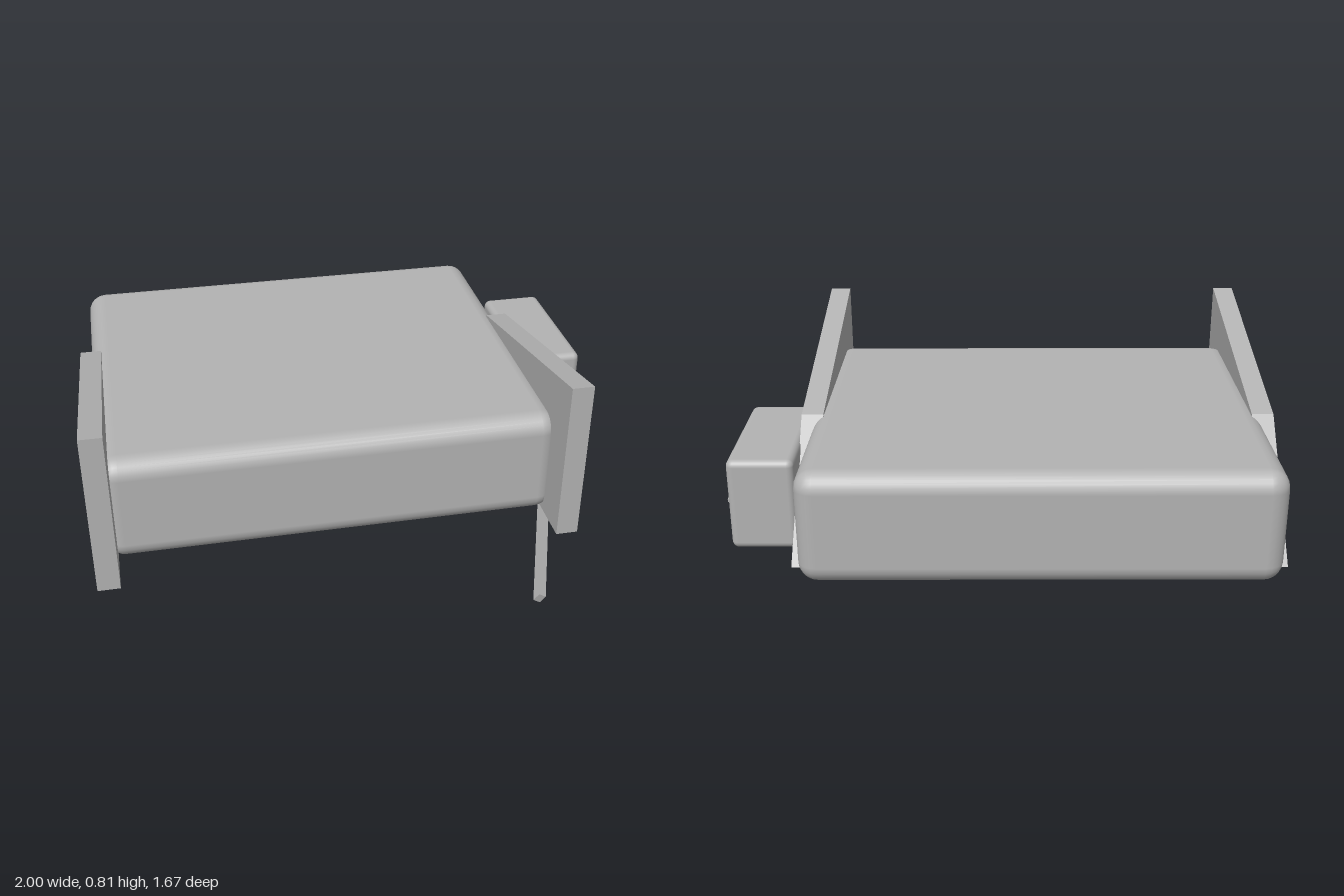
import * as THREE from 'three';
import { RoundedBoxGeometry } from 'three/addons/geometries/RoundedBoxGeometry.js';

export function createModel() {
  const model = new THREE.Group();
  const grey = new THREE.MeshStandardMaterial({ color: 0xb3b3b3 });
  grey.name = 'plain grey';

  const add = (name, geometry) => {
    const mesh = new THREE.Mesh(geometry, grey);
    mesh.name = name;
    model.add(mesh);
    return mesh;
  };
  // Box between two corners, rounded when a radius is given
  const block = (name, [x0, y0, z0], [x1, y1, z1], radius = 0, segments = 3) => {
    const size = [x1 - x0, y1 - y0, z1 - z0];
    const geometry = radius
      ? new RoundedBoxGeometry(...size, segments, radius)
      : new THREE.BoxGeometry(...size);
    add(name, geometry).position.set((x0 + x1) / 2, (y0 + y1) / 2, (z0 + z1) / 2);
  };

  // Main slab
  block('body', [-0.96, 0.2, -0.835], [0.7, 0.612, 0.545], 0.07);

  // Tapered side panels, drawn in (-z, y) and turned to stand along x
  const profile = new THREE.Shape([
    new THREE.Vector2(-0.686, 0.2),
    new THREE.Vector2(0.695, 0.2),
    new THREE.Vector2(0.28, 0.612),
    new THREE.Vector2(-0.686, 0.82),
  ]);
  const panel = new THREE.ExtrudeGeometry(profile, { depth: 0.08, bevelEnabled: false });
  panel.rotateY(Math.PI / 2);
  for (const [name, x] of [['rightPanel', -1], ['leftPanel', 0.66]]) {
    add(name, panel).position.x = x;
  }

  // Side box with slot strip, plate and latch tab
  block('sideBox', [0.735, 0.2, -0.557], [0.975, 0.543, -0.007], 0.025);
  block('slotStrip', [0.97, 0.368, -0.515], [0.984, 0.38, -0.045]);
  block('latchPlate', [0.97, 0.273, -0.487], [0.983, 0.316, -0.32]);
  block('latchTab', [0.97, 0.303, -0.335], [1.0, 0.321, -0.222]);

  // Bent lever: a diamond section carried along three points
  const path = [[0.715, 0.235, -0.01], [0.763, 0.133, 0.27], [0.562, 0.029, 0.828]];
  const section = [[0.023, 0.004], [-0.004, 0.023], [-0.023, -0.004], [0.004, -0.023]];
  const positions = path.flatMap(([x, y, z]) =>
    section.flatMap(([dx, dy]) => [x + dx, y + dy, z + dy * 0.18]));
  const index = [0, 2, 1, 0, 3, 2, 8, 9, 10, 8, 10, 11];
  for (let ring = 0; ring < 2; ring++) {
    for (let i = 0; i < 4; i++) {
      const a = ring * 4 + i;
      const b = ring * 4 + (i + 1) % 4;
      index.push(a, b, b + 4, a, b + 4, a + 4);
    }
  }
  const indexed = new THREE.BufferGeometry();
  indexed.setAttribute('position', new THREE.Float32BufferAttribute(positions, 3));
  indexed.setIndex(index);
  const lever = indexed.toNonIndexed();
  lever.computeVertexNormals();
  add('lever', lever);

  return model;
}
